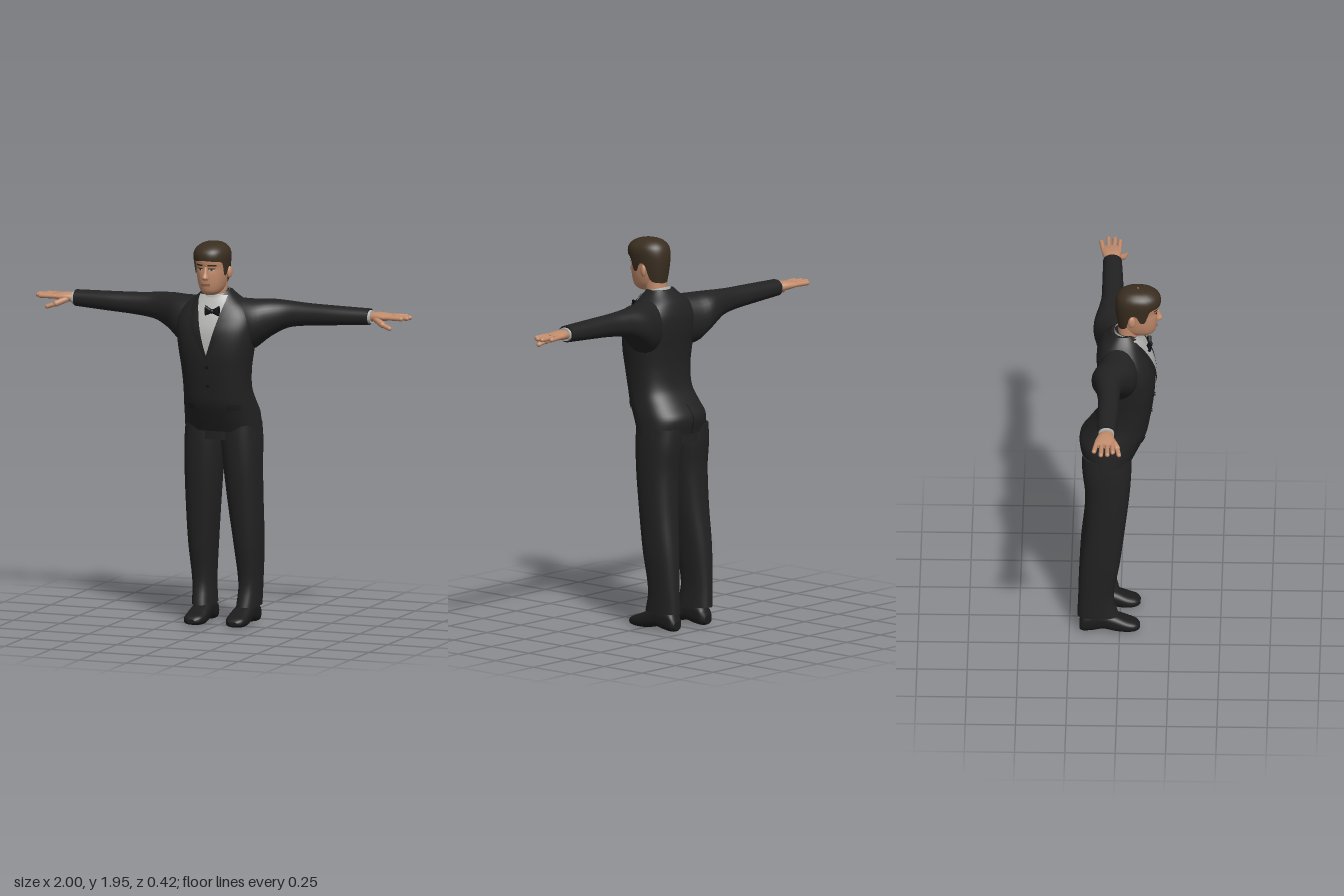
import * as THREE from 'three';

const mat = (name, color, side = THREE.FrontSide) => {
  const m = new THREE.MeshStandardMaterial({ color, side });
  m.name = name;
  return m;
};

// Smooth interpolation of table rows [t, ...values] at t
function sample(rows, t) {
  let i = 0;
  while (i < rows.length - 2 && t > rows[i + 1][0]) i++;
  const slope = (k, c) => {
    const a = rows[Math.max(k - 1, 0)], b = rows[Math.min(k + 1, rows.length - 1)];
    return (b[c] - a[c]) / (b[0] - a[0]);
  };
  const h = rows[i + 1][0] - rows[i][0], u = THREE.MathUtils.clamp((t - rows[i][0]) / h, 0, 1);
  const u2 = u * u, u3 = u2 * u;
  return rows[i].map((p, c) => c === 0 ? t
    : (2 * u3 - 3 * u2 + 1) * p + (u3 - 2 * u2 + u) * h * slope(i, c)
      + (3 * u2 - 2 * u3) * rows[i + 1][c] + (u3 - u2) * h * slope(i + 1, c));
}

const power = (v, e) => Math.sign(v) * Math.abs(v) ** (2 / e);

// Superellipse loft; rows are [t, aMin, aMax, bMin, bMax], with axes (t,a,b) = yzx, xyz or zxy.
// base(angle) gives an uneven lower edge.
function loft(rows, axis, { e = 2.2, seg = 32, steps = 32, caps = true, base = null } = {}) {
  const pos = [], idx = [], t0 = rows[0][0], t1 = rows[rows.length - 1][0];
  const put = (t, a, b) => pos.push(...(axis === 'y' ? [b, t, a] : axis === 'x' ? [t, a, b] : [a, b, t]));
  const point = (t, th) => {
    const [, a0, a1, b0, b1] = sample(rows, t);
    put(t, (a0 + a1) / 2 + (a1 - a0) / 2 * power(Math.cos(th), e),
      (b0 + b1) / 2 + (b1 - b0) / 2 * power(Math.sin(th), e));
  };
  for (let i = 0; i <= steps; i++) for (let j = 0; j < seg; j++) {
    const th = j / seg * Math.PI * 2, u = i / steps;
    const start = base ? base(th) : t0;
    point(start + (t1 - start) * (base ? 1 - (1 - u) ** 2 : u), th);
  }
  for (let i = 0; i < steps; i++) for (let j = 0; j < seg; j++) {
    const k = (j + 1) % seg, a = i * seg + j, b = i * seg + k;
    idx.push(a, b, b + seg, a, b + seg, a + seg);
  }
  if (caps) [rows[0], rows[rows.length - 1]].forEach((r, end) => {
    const c = pos.length / 3;
    put(r[0], (r[1] + r[2]) / 2, (r[3] + r[4]) / 2);
    for (let j = 0; j < seg; j++) point(r[0], j / seg * Math.PI * 2);
    for (let j = 0; j < seg; j++) {
      const a = c + 1 + j, b = c + 1 + (j + 1) % seg;
      idx.push(c, ...(end ? [a, b] : [b, a]));
    }
  });
  return build(pos, idx);
}

function build(pos, idx) {
  const g = new THREE.BufferGeometry();
  g.setAttribute('position', new THREE.Float32BufferAttribute(pos, 3));
  g.setIndex(idx);
  g.computeVertexNormals();
  return g;
}

// Thin panel lying on the front (or back, side = -1) of a lofted body
function panel(rows, e, y0, y1, left, right, off, side = 1) {
  const pos = [], idx = [], n = 20, m = 10;
  for (let i = 0; i <= n; i++) for (let j = 0; j <= m; j++) {
    const y = y0 + (y1 - y0) * i / n;
    const [, z0, z1, , w] = sample(rows, y);
    const x = THREE.MathUtils.lerp(left(y), right(y), j / m);
    const bulge = Math.max(0, 1 - Math.abs(x / w) ** e) ** (1 / e);
    pos.push(x, y, (z0 + z1) / 2 + side * ((z1 - z0) / 2 * bulge + off));
    if (i < n && j < m) {
      const a = i * (m + 1) + j, b = a + m + 1;
      idx.push(...(side > 0 ? [a, a + 1, b + 1, a, b + 1, b] : [a, b + 1, a + 1, a, b, b + 1]));
    }
  }
  return build(pos, idx);
}

function mirrored(geo) {
  const g = geo.clone().scale(-1, 1, 1), a = g.index.array;
  for (let i = 0; i < a.length; i += 3) [a[i], a[i + 1]] = [a[i + 1], a[i]];
  return g;
}

function rod(p, q, r) {
  const a = new THREE.Vector3(...p), b = new THREE.Vector3(...q), d = b.clone().sub(a);
  const turn = new THREE.Quaternion().setFromUnitVectors(new THREE.Vector3(0, 1, 0), d.clone().normalize());
  const mid = a.add(b).multiplyScalar(0.5);
  return new THREE.CapsuleGeometry(r, d.length() - 2 * r, 6, 12).applyQuaternion(turn).translate(mid.x, mid.y, mid.z);
}

export function createModel() {
  const model = new THREE.Group();
  model.name = 'manInDinnerSuit';
  const D = THREE.DoubleSide;
  const suit = mat('suit black', 0x222222), lapelCloth = mat('lapel black', 0x1e1e1e, D);
  const leather = mat('shoe black', 0x1c1c1c), shirt = mat('shirt grey white', 0xb4b4b2, D);
  const skin = mat('skin', 0xc28c6c), hairMat = mat('hair brown', 0x3a2e20, D);
  const lip = mat('lip', 0x9a624e), tie = mat('tie black', 0x101114);
  const add = (name, geo, m) => {
    const mesh = new THREE.Mesh(geo, m);
    mesh.name = name;
    model.add(mesh);
  };
  const pair = (name, geo, m) => {
    add(name + 'Left', geo, m);
    add(name + 'Right', mirrored(geo), m);
  };

  // Jacket body
  const torso = [
    [0.985, -0.188, 0.068, -0.194, 0.194], [1.07, -0.2, 0.11, -0.187, 0.187],
    [1.13, -0.16, 0.136, -0.178, 0.178], [1.2, -0.114, 0.15, -0.171, 0.171],
    [1.3, -0.1, 0.166, -0.176, 0.176], [1.4, -0.104, 0.175, -0.191, 0.191],
    [1.5, -0.115, 0.167, -0.205, 0.205], [1.57, -0.115, 0.142, -0.2, 0.2],
    [1.62, -0.1, 0.116, -0.165, 0.165], [1.65, -0.084, 0.1, -0.122, 0.122],
    [1.675, -0.06, 0.086, -0.092, 0.092], [1.695, -0.042, 0.07, -0.074, 0.074]];
  add('jacketBody', loft(torso, 'y', { e: 2.4, seg: 48, steps: 48 }), suit);

  // Shirt front, lapels, pockets and vent
  const vee = y => 0.074 * THREE.MathUtils.clamp((y - 1.38) / 0.27, 0, 1) ** 0.9;
  const lapelWidth = [[1.36, 0.004], [1.45, 0.03], [1.555, 0.056], [1.575, 0.034], [1.6, 0.042], [1.67, 0.012]];
  add('shirtFront', panel(torso, 2.4, 1.38, 1.675, y => -vee(y), vee, 0.004), shirt);
  pair('lapel', panel(torso, 2.4, 1.36, 1.67, vee, y => vee(y) + sample(lapelWidth, y)[1], 0.009), lapelCloth);
  pair('pocketFlap', panel(torso, 2.4, 1.1, 1.13, () => 0.085, () => 0.15, 0.005), lapelCloth);
  add('backVent', panel(torso, 2.4, 0.99, 1.13, () => -0.003, () => 0.003, 0.002, -1), tie);
  [1.225, 1.32].forEach(y => add('jacketButton',
    new THREE.CylinderGeometry(0.008, 0.008, 0.008, 16).rotateX(Math.PI / 2).translate(0, y, sample(torso, y)[2] + 0.003), tie));

  // Sleeves and cuffs
  pair('sleeve', loft([
    [0.08, 1.4, 1.655, -0.09, 0.09], [0.18, 1.4, 1.65, -0.122, 0.092], [0.23, 1.44, 1.65, -0.137, 0.075],
    [0.28, 1.475, 1.65, -0.132, 0.042], [0.35, 1.51, 1.646, -0.116, 0.014], [0.45, 1.527, 1.64, -0.102, 0.006],
    [0.6, 1.538, 1.636, -0.1, 0.004], [0.785, 1.55, 1.632, -0.1, -0.006]], 'x'), suit);
  pair('cuff', loft([[0.77, 1.556, 1.625, -0.093, -0.013], [0.798, 1.558, 1.623, -0.092, -0.014]], 'x', { steps: 2 }), shirt);

  // Hands
  pair('palm', loft([
    [0.785, 1.567, 1.612, -0.084, -0.024], [0.83, 1.57, 1.617, -0.1, -0.014],
    [0.88, 1.577, 1.612, -0.111, -0.01], [0.91, 1.585, 1.606, -0.106, -0.016]], 'x', { steps: 12 }), skin);
  [[-0.022, 0.975, -0.018], [-0.047, 0.997, -0.044], [-0.073, 1.0, -0.077], [-0.098, 0.968, -0.113]]
    .forEach(([z, x, tipZ]) => pair('finger', rod([0.87, 1.595, z], [x, 1.595, tipZ], 0.0115), skin));
  pair('thumbBase', rod([0.815, 1.59, -0.035], [0.885, 1.558, 0.008], 0.016), skin);
  pair('thumbTip', rod([0.865, 1.565, 0.0], [0.925, 1.545, 0.014], 0.0115), skin);

  // Trousers and shoes
  add('trouserSeat', loft([[0.94, -0.186, 0.055, -0.188, 0.188], [1.04, -0.185, 0.06, -0.18, 0.18]], 'y', { steps: 3 }), suit);
  pair('trouserLeg', loft([
    [0.09, -0.21, -0.005, 0.065, 0.171], [0.2, -0.206, -0.028, 0.07, 0.176], [0.4, -0.196, 0.002, 0.053, 0.19],
    [0.6, -0.177, 0.027, 0.031, 0.195], [0.8, -0.172, 0.05, 0.012, 0.196],
    [0.93, -0.186, 0.058, 0, 0.195], [1.02, -0.186, 0.06, 0, 0.188]], 'y', { e: 2.4 }), suit);
  pair('shoe', loft([
    [-0.2, 0.09, 0.14, 0.01, 0.05], [-0.185, 0.073, 0.153, 0, 0.085], [-0.13, 0.067, 0.158, 0.004, 0.11],
    [-0.08, 0.064, 0.16, 0.014, 0.11], [-0.02, 0.058, 0.163, 0.002, 0.09], [0.04, 0.056, 0.165, 0, 0.064],
    [0.085, 0.07, 0.155, 0.006, 0.048], [0.1, 0.092, 0.132, 0.014, 0.034]], 'z', { e: 2.7 }), leather);

  // Neck, shirt collar and bow tie
  add('neck', loft([[1.6, -0.01, 0.085, -0.06, 0.06], [1.68, -0.01, 0.09, -0.056, 0.056],
    [1.76, -0.008, 0.1, -0.056, 0.056]], 'y', { steps: 8 }), skin);
  const collar = loft([[1.635, -0.04, 0.11, -0.074, 0.074], [1.695, -0.026, 0.095, -0.064, 0.064]], 'y', { steps: 4, caps: false });
  const cp = collar.attributes.position;
  for (let i = 0; i < cp.count; i++) cp.setY(i, cp.getY(i) - 0.25 * (cp.getZ(i) - 0.03));
  collar.computeVertexNormals();
  add('shirtCollar', collar, shirt);
  pair('collarWing', panel(torso, 2.4, 1.6, 1.665, y => (1.665 - y) * 0.35, y => 0.035 + (y - 1.6) * 0.4, 0.014), shirt);
  const bow = loft([[0, 1.594, 1.61, 0.138, 0.152], [0.012, 1.588, 1.616, 0.136, 0.156],
    [0.036, 1.578, 1.63, 0.132, 0.156]], 'x', { e: 3, steps: 8, seg: 20 });
  [bow, mirrored(bow)].forEach(g => add('bowTieWing', g.translate(0.02, 0, 0), tie));
  add('bowTieKnot', new THREE.SphereGeometry(0.012, 16, 12).translate(0.02, 1.602, 0.15), tie);

  // Head and face
  const head = [
    [1.682, 0.06, 0.145, -0.028, 0.028], [1.695, 0.03, 0.168, -0.045, 0.045], [1.715, 0.005, 0.178, -0.057, 0.057],
    [1.75, -0.005, 0.184, -0.067, 0.067], [1.79, -0.01, 0.186, -0.073, 0.073], [1.82, -0.012, 0.184, -0.076, 0.076],
    [1.85, -0.012, 0.19, -0.079, 0.079], [1.88, -0.01, 0.188, -0.078, 0.078], [1.92, 0.02, 0.155, -0.05, 0.05]];
  const onFace = (y0, y1, x0, x1, off) => panel(head, 2.2, y0, y1, () => x0, () => x1, off);
  add('head', loft(head, 'y'), skin);
  add('nose', loft([[1.763, 0.17, 0.195, -0.014, 0.014], [1.772, 0.17, 0.211, -0.017, 0.017],
    [1.795, 0.17, 0.202, -0.011, 0.011], [1.83, 0.17, 0.188, -0.008, 0.008]], 'y', { steps: 12, seg: 20 }), skin);
  add('mouth', onFace(1.731, 1.744, -0.024, 0.024, 0.004), lip);
  pair('eyeWhite', onFace(1.811, 1.82, 0.018, 0.044, 0.002), shirt);
  pair('iris', onFace(1.811, 1.821, 0.026, 0.036, 0.003), hairMat);
  pair('eyelid', onFace(1.819, 1.823, 0.015, 0.047, 0.004), hairMat);
  pair('eyebrow', onFace(1.834, 1.842, 0.013, 0.053, 0.004), hairMat);
  pair('ear', new THREE.SphereGeometry(1, 16, 12).scale(0.011, 0.03, 0.018).rotateY(-0.3).translate(0.079, 1.79, 0.06), skin);

  // Hair with sideburns and an uneven hairline
  const hairline = [[0, 1.862], [0.6, 1.857], [1.05, 1.845], [1.22, 1.79], [1.45, 1.785], [1.62, 1.825],
    [1.9, 1.815], [2.1, 1.75], [2.5, 1.73], [Math.PI, 1.722]];
  const fold = th => th > Math.PI ? 2 * Math.PI - th : th;
  add('hair', loft([
    [1.72, -0.008, 0.17, -0.066, 0.066], [1.78, -0.018, 0.19, -0.079, 0.079], [1.84, -0.024, 0.198, -0.086, 0.086],
    [1.88, -0.022, 0.203, -0.089, 0.089], [1.91, -0.011, 0.192, -0.081, 0.081], [1.933, 0.015, 0.16, -0.057, 0.057],
    [1.942, 0.045, 0.128, -0.034, 0.034], [1.946, 0.085, 0.095, -0.004, 0.004]], 'y',
  { seg: 72, steps: 28, caps: false, base: th => sample(hairline, fold(th))[1] }), hairMat);

  return model;
}
